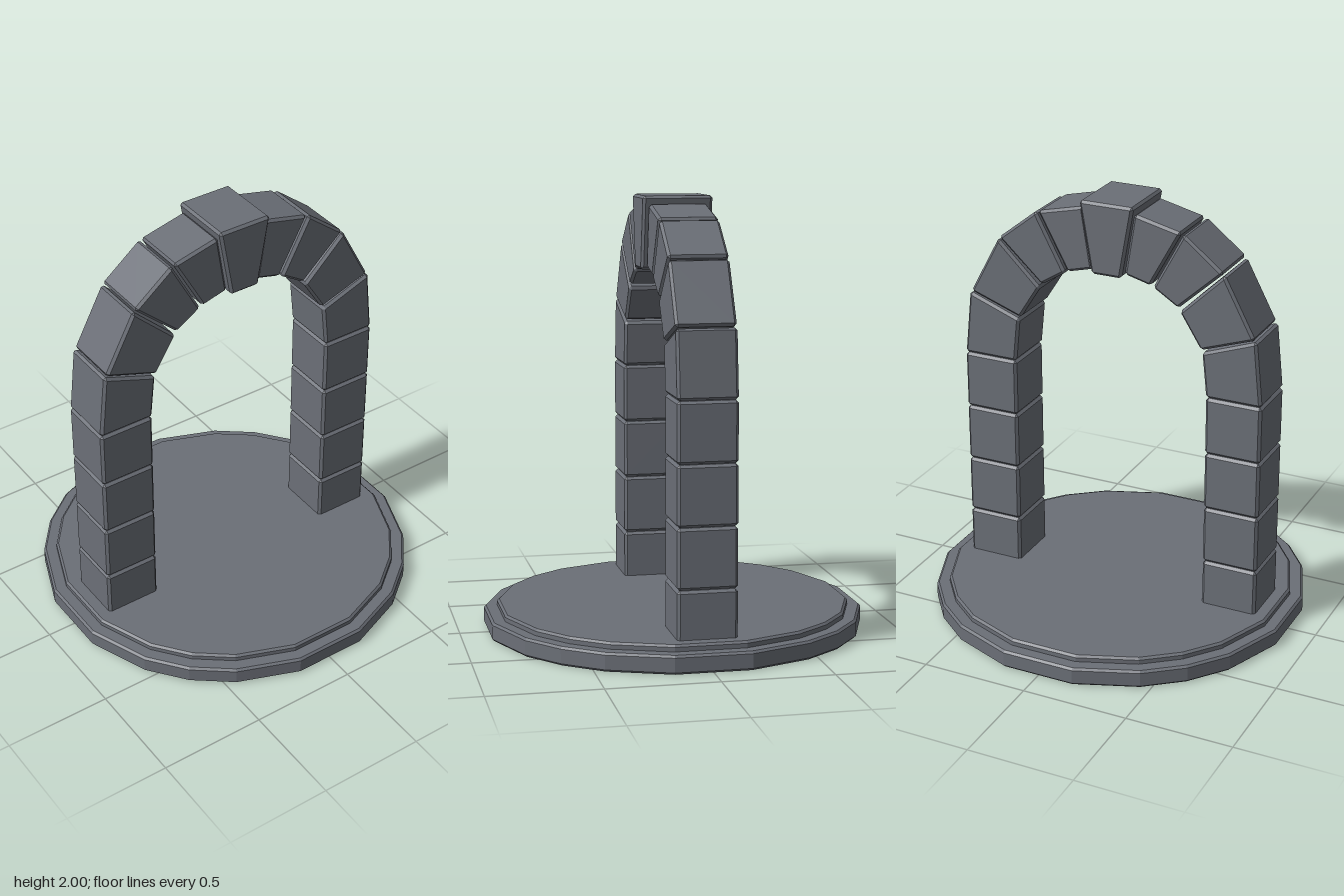
import * as THREE from 'three';
import { ConvexGeometry } from 'three/addons/geometries/ConvexGeometry.js';

const stone = new THREE.MeshStandardMaterial({ color: 0x6b6f77 });
stone.name = 'grey stone';

// Stone block: a four-cornered front profile with depth 2 * half, all edges chamfered
function block(name, corners, half, bevel = 0.012) {
  const pts = [];
  const v = corners.map(([x, y]) => new THREE.Vector2(x, y));
  v.forEach((c, i) => {
    const toNext = v[(i + 1) % 4].clone().sub(c).setLength(bevel);
    const toPrev = v[(i + 3) % 4].clone().sub(c).setLength(bevel);
    for (const s of [-1, 1]) {
      pts.push(new THREE.Vector3(c.x + toNext.x + toPrev.x, c.y + toNext.y + toPrev.y, s * half));
      for (const d of [toNext, toPrev]) {
        pts.push(new THREE.Vector3(c.x + d.x, c.y + d.y, s * (half - bevel)));
      }
    }
  });
  const mesh = new THREE.Mesh(new ConvexGeometry(pts), stone);
  mesh.name = name;
  return mesh;
}

// Round slab with uneven facets: five corners per quadrant, bevelled rims
function slab(name, radius, y0, y1, bevel, angles) {
  const corners = [];
  for (let q = 0; q < 4; q++) {
    for (const deg of angles) {
      const a = THREE.MathUtils.degToRad(deg + q * 90);
      corners.push(new THREE.Vector2(Math.cos(a) * radius, Math.sin(a) * radius));
    }
  }
  const geo = new THREE.ExtrudeGeometry(new THREE.Shape(corners), {
    depth: y1 - y0 - 2 * bevel, bevelEnabled: true, bevelSegments: 1,
    bevelThickness: bevel, bevelSize: bevel, bevelOffset: -bevel,
  });
  geo.rotateX(-Math.PI / 2).translate(0, y0 + bevel, 0);
  const mesh = new THREE.Mesh(geo, stone);
  mesh.name = name;
  return mesh;
}

export function createModel() {
  const model = new THREE.Group();
  model.name = 'stoneArch';

  // Stepped round base
  const angles = [11.2, 31, 45, 59, 78.8];
  model.add(slab('lowerBase', 0.885, 0, 0.085, 0.01, angles));
  model.add(slab('upperBase', 0.823, 0.075, 0.115, 0.01, angles));

  // Pillar blocks, as bottom and top heights
  const courses = [[0.09, 0.332], [0.334, 0.607], [0.609, 0.882], [0.884, 1.157]];
  // Wedge stones of one side, from the pillar up to the keystone
  const wedges = [
    [[0.478, 1.159], [0.745, 1.159], [0.713, 1.467], [0.456, 1.372]],
    [[0.450, 1.382], [0.705, 1.472], [0.556, 1.75], [0.346, 1.546]],
    [[0.338, 1.562], [0.551, 1.757], [0.36, 1.908], [0.216, 1.639]],
    [[0.205, 1.645], [0.35, 1.911], [0.124, 1.965], [0.078, 1.678]],
  ];
  for (const side of [1, -1]) {
    const half = new THREE.Group();
    half.name = side > 0 ? 'leftHalf' : 'rightHalf';
    const mirror = (c) => c.map(([x, y]) => [x * side, y]);
    courses.forEach(([a, b], i) => {
      const c = [[0.478, a], [0.745, a], [0.745, b], [0.478, b]];
      half.add(block('pillarBlock' + (i + 1), mirror(c), 0.135));
    });
    wedges.forEach((c, i) => half.add(block('archStone' + (i + 1), mirror(c), 0.135)));
    model.add(half);
  }

  // Larger keystone at the crown
  model.add(block('keystone', [[-0.073, 1.665], [0.073, 1.665], [0.132, 2], [-0.132, 2]], 0.16));
  return model;
}
